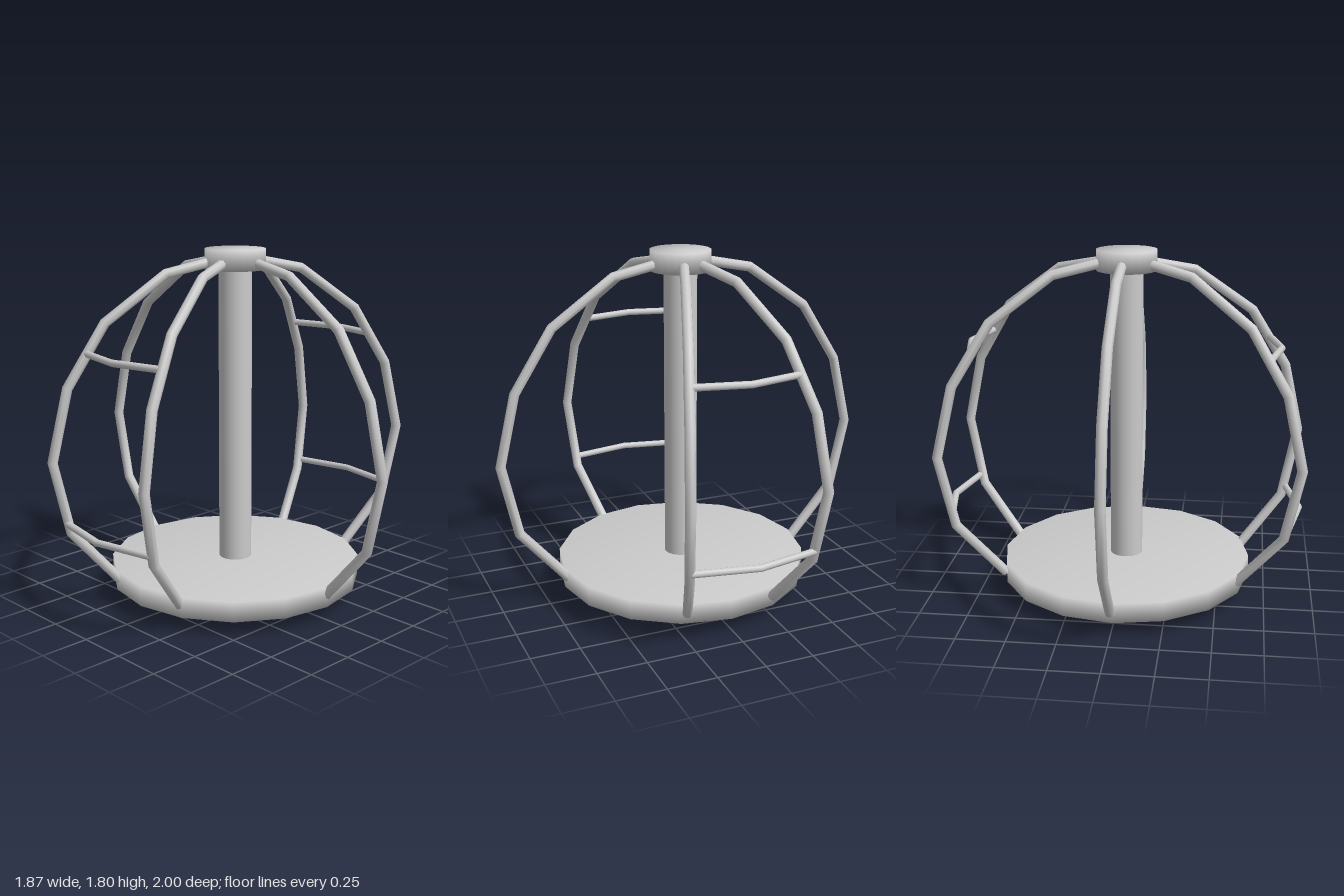
import * as THREE from 'three';
import { mergeGeometries } from 'three/addons/utils/BufferGeometryUtils.js';

const material = new THREE.MeshStandardMaterial({ color: 0xcccccc });

// Straight-segment path whose joints are mitred along the bisector
class Polyline extends THREE.Curve {
  constructor(points) {
    super();
    this.points = points;
  }
  getPointAt(t, target = new THREE.Vector3()) {
    const n = this.points.length - 1;
    const i = Math.min(Math.floor(t * n + 1e-6), n - 1);
    return target.lerpVectors(this.points[i], this.points[i + 1], t * n - i);
  }
  getPoint(t, target) {
    return this.getPointAt(t, target);
  }
  getTangentAt(t, target = new THREE.Vector3()) {
    const n = this.points.length - 1;
    const k = Math.round(t * n);
    const dir = (i) => this.points[i + 1].clone().sub(this.points[i]).normalize();
    return target.copy(dir(Math.max(k - 1, 0))).add(dir(Math.min(k, n - 1))).normalize();
  }
}

// Capped round bar along a list of points
function bar(name, points, radius, sides = 8) {
  const n = points.length - 1;
  const cap = (end, from) => {
    const dir = end.clone().sub(from).normalize();
    const q = new THREE.Quaternion().setFromUnitVectors(new THREE.Vector3(0, 0, 1), dir);
    return new THREE.CircleGeometry(radius, sides).applyQuaternion(q).translate(end.x, end.y, end.z);
  };
  const mesh = new THREE.Mesh(mergeGeometries([
    new THREE.TubeGeometry(new Polyline(points), n, radius, sides, false),
    cap(points[0], points[1]),
    cap(points[n], points[n - 1]),
  ]), material);
  mesh.name = name;
  return mesh;
}

// Turned part from a bottom-to-top profile of [radius, height]
function turned(name, profile, sides) {
  const pts = profile.map(([r, y]) => new THREE.Vector2(r, y));
  const mesh = new THREE.Mesh(new THREE.LatheGeometry(pts, sides), material);
  mesh.name = name;
  return mesh;
}

export function createModel() {
  const group = new THREE.Group();

  // Base, post and hub share a slightly offset axis
  const core = new THREE.Group();
  core.name = 'core';
  core.position.set(-0.01, 0, 0.01);
  core.add(
    turned('base', [[0, 0], [0.445, 0], [0.655, 0.075], [0.655, 0.178], [0, 0.178]], 16),
    turned('post', [[0.085, 0.16], [0.085, 1.75]], 24),
    turned('hub', [[0, 1.7], [0.155, 1.7], [0.155, 1.803], [0, 1.803]], 24),
  );
  group.add(core);

  // Six bent ribs: front, back and a pair on each side
  const ribProfile = [[0.645, 0.13], [0.895, 0.42], [0.975, 0.79], [0.888, 1.155],
    [0.69, 1.465], [0.37, 1.69], [0.1, 1.745]];
  const spread = THREE.MathUtils.degToRad(21);
  const angles = [Math.PI / 2, -Math.PI / 2, spread, -spread, Math.PI - spread, Math.PI + spread];
  for (const a of angles) {
    const pts = ribProfile.map(([r, y]) => new THREE.Vector3(r * Math.cos(a), y, r * Math.sin(a)));
    group.add(bar('rib', pts, 0.026));
  }

  // Bent rungs joining each side pair of ribs: [end x, end z, middle x, height]
  for (const side of [1, -1]) {
    for (const [x, z, mid, y] of [[0.855, 0.32, 0.918, 0.47], [0.737, 0.278, 0.797, 1.32]]) {
      group.add(bar('rung', [
        new THREE.Vector3(side * x, y, z),
        new THREE.Vector3(side * mid, y, 0),
        new THREE.Vector3(side * x, y, -z),
      ], 0.018));
    }
  }
  return group;
}
